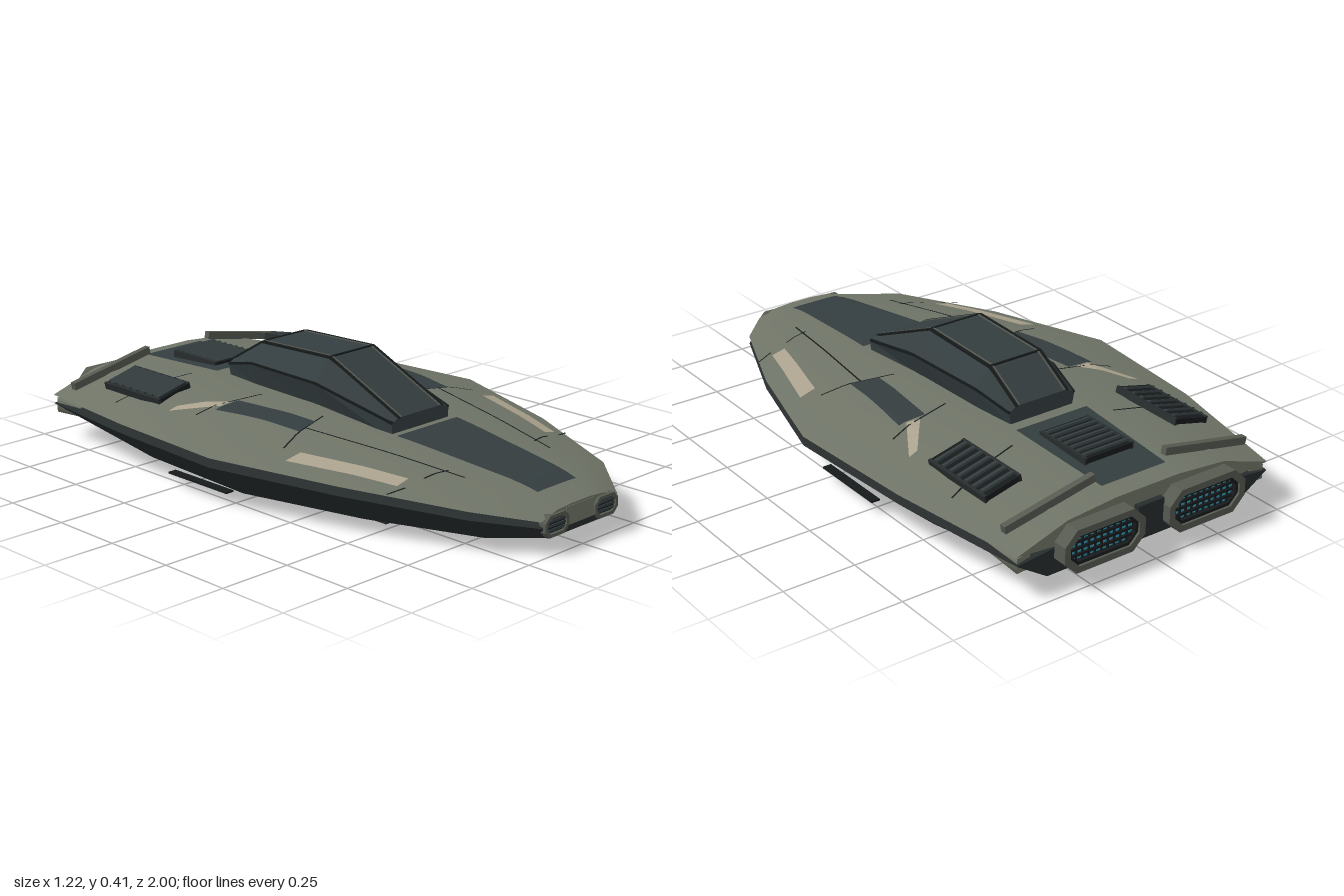
import * as THREE from 'three';
import { toCreasedNormals } from 'three/addons/utils/BufferGeometryUtils.js';

const mat = (name, color) => Object.assign(new THREE.MeshStandardMaterial({ color }), { name });
const M = {
  olive: mat('olive deck', 0x6f7467),
  hull: mat('dark hull', 0x272c2d),
  panel: mat('slate panel', 0x343d3f),
  trim: mat('black trim', 0x161a1b),
  beige: mat('beige marking', 0xaaa28d),
  frame: mat('grey frame', 0x565a50),
  glow: mat('cyan glow', 0x2f9dbd),
};

// Hull stations, nose to tail: z, half width, keel y, lower rim y, deck rim y, shoulder y, crown y
const stations = [
  [0.985, 0.18, 0.05, 0.09, 0.11, 0.131, 0.136],
  [0.82, 0.32, 0.036, 0.11, 0.137, 0.165, 0.172],
  [0.44, 0.48, 0.028, 0.13, 0.16, 0.204, 0.212],
  [0, 0.61, 0.025, 0.145, 0.176, 0.236, 0.246],
  [-0.48, 0.575, 0.025, 0.14, 0.171, 0.24, 0.256],
  [-0.95, 0.49, 0.05, 0.122, 0.152, 0.212, 0.228],
];
function stationAt(z) {
  let i = 0;
  while (i < stations.length - 2 && z < stations[i + 1][0]) i++;
  const a = stations[i], b = stations[i + 1];
  const t = THREE.MathUtils.clamp((a[0] - z) / (a[0] - b[0]), 0, 1);
  return a.map((v, k) => v + (b[k] - v) * t);
}
function deckY(x, z) {
  const [, w, , , ye, ys, yt] = stationAt(z);
  const r = Math.min(Math.abs(x) / w, 1);
  if (r < 0.25) return yt;
  return r < 0.62 ? yt + (ys - yt) * (r - 0.25) / 0.37 : ys + (ye - ys) * (r - 0.62) / 0.38;
}

// Joins mirrored half sections (keel to crown, given front to back) into a closed solid
function loft(sections, crease) {
  const rings = sections.map(({ z, half }) => [
    ...half, ...half.slice().reverse().filter(p => p[0] > 0).map(([x, y]) => [-x, y]),
  ].map(([x, y]) => [x, y, z]));
  const pos = [], n = rings[0].length;
  const tri = (...p) => p.forEach(q => pos.push(...q));
  for (let i = 0; i < rings.length - 1; i++) {
    for (let j = 0; j < n; j++) {
      const k = (j + 1) % n, f = rings[i], b = rings[i + 1];
      tri(f[j], b[j], f[k]);
      tri(f[k], b[j], b[k]);
    }
  }
  const cap = (r, flip) => {
    const c = [0, (r[0][1] + r[(n / 2)][1]) / 2, r[0][2]];
    r.forEach((p, j) => flip ? tri(c, r[(j + 1) % n], p) : tri(c, p, r[(j + 1) % n]));
  };
  cap(rings[0], false);
  cap(rings[rings.length - 1], true);
  const g = new THREE.BufferGeometry();
  g.setAttribute('position', new THREE.Float32BufferAttribute(pos, 3));
  g.computeVertexNormals();
  return crease ? toCreasedNormals(g, crease) : g;
}

// Thin plate lying on the deck; corners [x, z]: back-left, back-right, front-right, front-left
function deckPatch([a, b, c, d], lift) {
  const g = new THREE.PlaneGeometry(1, 1, 10, 10), p = g.attributes.position;
  const mix = (s, e, t) => s + (e - s) * t;
  for (let i = 0; i < p.count; i++) {
    const u = p.getX(i) + 0.5, v = 0.5 - p.getY(i);
    const x = mix(mix(a[0], b[0], u), mix(d[0], c[0], u), v);
    const z = mix(mix(a[1], b[1], u), mix(d[1], c[1], u), v);
    p.setXYZ(i, x, deckY(x, z) + lift, z);
  }
  g.computeVertexNormals();
  return g;
}
const flip = ([a, b, c, d]) => [b, a, d, c].map(([x, z]) => [-x, z]);

// Stretched octagon outline
function octagon(w, h, cut, Type = THREE.Shape) {
  const x = w / 2, y = h / 2;
  return new Type([[x, -y + cut], [x, y - cut], [x - cut, y], [-x + cut, y],
    [-x, y - cut], [-x, -y + cut], [-x + cut, -y], [x - cut, -y]].map(p => new THREE.Vector2(...p)));
}
function octFrame(w, h, cut, rim, depth) {
  const s = octagon(w, h, cut);
  s.holes.push(octagon(w - 2 * rim, h - 2 * rim, cut * 0.75, THREE.Path));
  return new THREE.ExtrudeGeometry(s, { depth, bevelEnabled: false });
}

export function createModel() {
  const model = new THREE.Group();
  model.name = 'lowCraft';
  const add = (name, geo, material, x = 0, y = 0, z = 0, parent = model) => {
    const m = new THREE.Mesh(geo, material);
    m.name = name;
    m.position.set(x, y, z);
    parent.add(m);
    return m;
  };
  const box = (name, w, h, d, material, x, y, z, parent) =>
    add(name, new THREE.BoxGeometry(w, h, d), material, x, y, z, parent);
  const group = (name, x, y, z) => {
    const g = new THREE.Group();
    g.name = name;
    g.position.set(x, y, z);
    model.add(g);
    return g;
  };

  // Hull: dark lower shell and olive deck with an open groove along the rim
  add('lowerHull', loft(stations.map(([z, w, yb, yl, ye]) => ({
    z, half: [[0, yb], [0.77 * w, yb], [w, yl], [0.6 * w, ye - 0.01], [0, ye - 0.008]],
  })), 0.4), M.hull);
  add('deck', loft(stations.map(([z, w, , , ye, ys, yt]) => ({
    z, half: [[0, ye - 0.015], [0.6 * w, ye - 0.015], [w, ye], [0.62 * w, ys], [0.25 * w, yt], [0, yt]],
  })), 0.5), M.olive);
  box('noseBlock', 0.13, 0.06, 0.03, M.olive, 0, 0.1, 0.972);

  // Canopy: faceted cabin with trim along the roof edges
  const cabin = [
    [0.33, 0.128, 0.2, 0.132, 0.255, 0.1, 0.268],
    [0.02, 0.13, 0.235, 0.17, 0.33, 0.1, 0.405],
    [-0.3, 0.13, 0.245, 0.157, 0.33, 0.1, 0.395],
    [-0.44, 0.12, 0.245, 0.13, 0.295, 0.1, 0.312],
  ];
  add('canopy', loft(cabin.map(([z, w0, y0, w1, y1, w2, y2]) => ({
    z, half: [[0, y0], [w0, y0], [w1, y1], [w2, y2], [0, y2]],
  })), 0.1), M.panel);
  const bar = (name, p, q, t, material) => {
    const a = new THREE.Vector3(...p), b = new THREE.Vector3(...q);
    const m = box(name, t, t, a.distanceTo(b), material, 0, 0, 0);
    m.position.copy(a).lerp(b, 0.5);
    m.lookAt(b);
  };
  for (const s of [1, -1]) {
    for (let i = 0; i < 3; i++) {
      const a = cabin[i], b = cabin[i + 1];
      bar('canopyRoofSeam', [s * 0.09, a[6], a[0]], [s * 0.09, b[6], b[0]], 0.005, M.frame);
      bar('canopyRoofEdge', [s * a[5], a[6] - 0.003, a[0]], [s * b[5], b[6] - 0.003, b[0]], 0.01, M.trim);
      bar('canopySideEdge', [s * (a[3] - 0.003), a[4], a[0]], [s * (b[3] - 0.003), b[4], b[0]], 0.008, M.trim);
    }
  }
  for (const c of cabin.slice(1, 3)) box('canopyCrossSeam', 0.19, 0.006, 0.007, M.trim, 0, c[6], c[0]);

  // Deck panels and markings
  add('frontPanel', deckPatch([[-0.14, 0.36], [0.14, 0.36], [0.09, 0.895], [-0.09, 0.895]], 0.006), M.panel);
  add('rearPanel', deckPatch([[-0.125, -0.885], [0.125, -0.885], [0.14, -0.49], [-0.14, -0.49]], 0.006), M.panel);
  const plates = [
    ['sidePanel', M.panel, [[0.29, -0.215], [0.39, -0.215], [0.345, 0.13], [0.25, 0.105]]],
    ['frontMarking', M.beige, [[0.425, 0.22], [0.485, 0.215], [0.37, 0.58], [0.32, 0.58]]],
    ['rearMarking', M.beige, [[0.425, -0.365], [0.46, -0.37], [0.365, -0.22], [0.315, -0.225]]],
  ];
  // Panel seams: start and end as [x, z]
  const seams = [
    [[0.31, 0.12], [0.2, 0.7]], [[0.2, 0.09], [0.44, 0.16]], [[0.2, 0.635], [0.29, 0.615]],
    [[0.36, 0.605], [0.42, 0.585]], [[0.2, -0.2], [0.44, -0.255]], [[0.2, -0.55], [0.48, -0.62]],
  ];
  for (const [[px, pz], [qx, qz]] of seams) {
    const t = 0.003;
    plates.push(['panelSeam', M.trim, Math.abs(qz - pz) > Math.abs(qx - px)
      ? [[px - t, pz], [px + t, pz], [qx + t, qz], [qx - t, qz]]
      : [[px, pz - t], [qx, qz - t], [qx, qz + t], [px, pz + t]]]);
  }
  for (const [name, material, corners] of plates) {
    add(name, deckPatch(corners, 0.006), material);
    add(name, deckPatch(flip(corners), 0.006), material);
  }

  // Slatted vents, tilted to follow the deck
  function vent(name, x, z, w, d) {
    const g = group(name, x, deckY(x, z) + 0.012, z);
    const e = w / 2;
    g.rotation.z = Math.atan2(deckY(x + e, z) - deckY(x - e, z), w);
    box(name + 'Base', w, 0.018, d, M.trim, 0, 0, 0, g);
    for (const s of [1, -1]) box(name + 'Rail', 0.01, 0.024, d, M.hull, s * e, 0, 0, g);
    for (let i = 0; i < 7; i++) {
      const slat = box(name + 'Slat', w - 0.01, 0.007, 0.024, M.panel, 0, 0.013, (i - 3) * d / 7.4, g);
      slat.rotation.x = 0.4;
    }
  }
  vent('centreVent', 0, -0.66, 0.18, 0.22);

  for (const s of [1, -1]) {
    vent('sideVent', s * 0.37, -0.585, 0.13, 0.285);

    // Rear spoiler bar
    const y0 = deckY(0.14, -0.86), y1 = deckY(0.47, -0.86);
    const spoiler = box('spoilerBar', 0.34, 0.026, 0.022, M.frame, s * 0.305, (y0 + y1) / 2 + 0.03, -0.86);
    spoiler.rotation.z = s * Math.atan2(y1 - y0, 0.33);

    // Headlamps
    const lamp = group('headlamp', s * 0.117, 0.09, 0.97);
    add('headlampFrame', octFrame(0.11, 0.07, 0.02, 0.011, 0.025), M.frame, 0, 0, 0, lamp);
    box('headlampBack', 0.085, 0.045, 0.01, M.trim, 0, 0, 0.013, lamp);
    for (let i = -1; i <= 1; i++) box('headlampSlat', 0.084, 0.008, 0.008, M.panel, 0, i * 0.014, 0.018, lamp);

    // Engine nozzles
    const engine = group('engine', s * 0.2, 0.13, -1);
    add('engineFrame', octFrame(0.305, 0.145, 0.045, 0.022, 0.05), M.frame, 0, 0, 0, engine);
    add('engineInnerRim', octFrame(0.265, 0.105, 0.034, 0.012, 0.035), M.trim, 0, 0, 0.008, engine);
    add('engineGlow', new THREE.ExtrudeGeometry(octagon(0.25, 0.09, 0.028), { depth: 0.02, bevelEnabled: false }),
      M.glow, 0, 0, 0.025, engine);
    for (let i = -1; i <= 1; i++) box('engineGrille', 0.23, 0.008, 0.008, M.trim, 0, i * 0.022, 0.018, engine);
    for (let i = -4; i <= 4; i++) box('engineGrille', 0.005, 0.078, 0.006, M.trim, i * 0.024, 0, 0.02, engine);

    // Rear side fairing: a wedge growing toward the tail
    const fairing = new THREE.ConeGeometry(0.036, 0.31, 4);
    fairing.rotateY(Math.PI / 4).rotateX(Math.PI / 2);
    add('rearFairing', fairing, M.olive, s * 0.472, 0.116, -0.785).rotation.y = s * 0.1;

    // Landing skid and side blade
    box('skid', 0.055, 0.018, 1.05, M.hull, s * 0.275, 0.009, -0.055);
    box('sideBlade', 0.03, 0.006, 0.28, M.trim, s * 0.525, 0.043, -0.14);
  }
  box('engineBridge', 0.1, 0.1, 0.03, M.hull, 0, 0.13, -0.955);
  return model;
}
